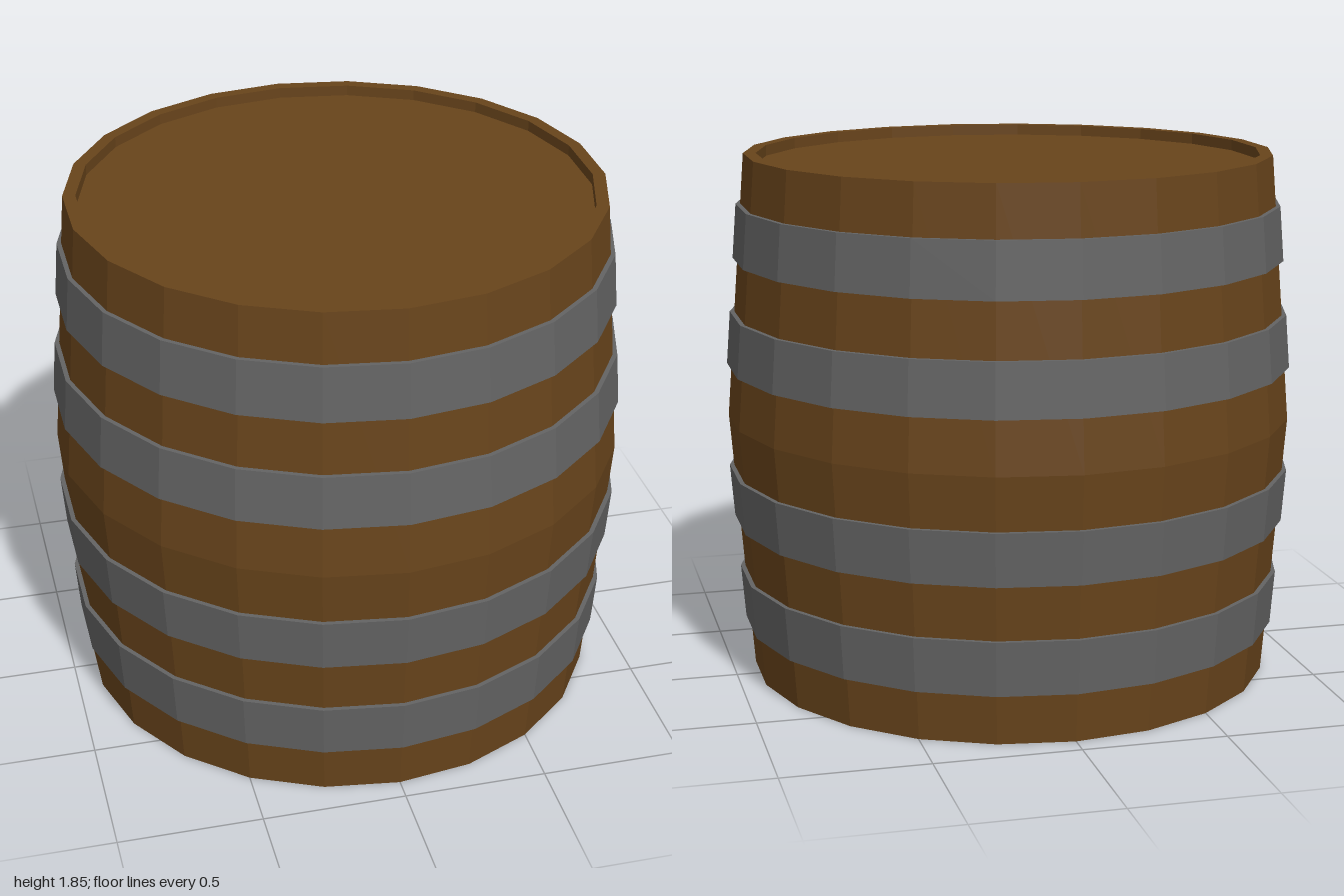
import * as THREE from 'three';

const SIDES = 22;
const HEIGHT = 1.85;
const END_RADIUS = 0.924;
const BELLY_RADIUS = 0.997;
const BAND = 0.016;

const wood = new THREE.MeshStandardMaterial({ color: 0x68441b, flatShading: true });
const iron = new THREE.MeshStandardMaterial({ color: 0x646464, flatShading: true });

// Radius of the staves at height y: widest at mid height
function radiusAt(y) {
  const t = Math.abs(y / HEIGHT - 0.5) * 2;
  return THREE.MathUtils.lerp(BELLY_RADIUS, END_RADIUS, t);
}

function turned(name, profile, material) {
  const points = profile.map(([r, y]) => new THREE.Vector2(r, y));
  const mesh = new THREE.Mesh(new THREE.LatheGeometry(points, SIDES), material);
  mesh.name = name;
  return mesh;
}

export function createModel() {
  const barrel = new THREE.Group();
  barrel.name = 'barrel';

  // Flat base, bulging staves, rim and its inner wall
  const lidY = HEIGHT - 0.038;
  const lidRadius = 0.88;
  barrel.add(turned('body', [
    [0, 0], [END_RADIUS, 0], [BELLY_RADIUS, HEIGHT / 2],
    [END_RADIUS, HEIGHT], [lidRadius, HEIGHT], [lidRadius, lidY],
  ], wood));

  // Sunken lid
  barrel.add(turned('lid', [[lidRadius, lidY], [0, lidY]], wood));

  // Iron hoops, mirrored about mid height
  const hoops = [[0.175, 0.365], [0.555, 0.74]];
  for (const [low, high] of hoops) {
    for (const [a, b] of [[low, high], [HEIGHT - high, HEIGHT - low]]) {
      const ra = radiusAt(a), rb = radiusAt(b);
      barrel.add(turned('hoop', [
        [ra - 0.005, a], [ra + BAND, a], [rb + BAND, b], [rb - 0.005, b], [ra - 0.005, a],
      ], iron));
    }
  }
  return barrel;
}
